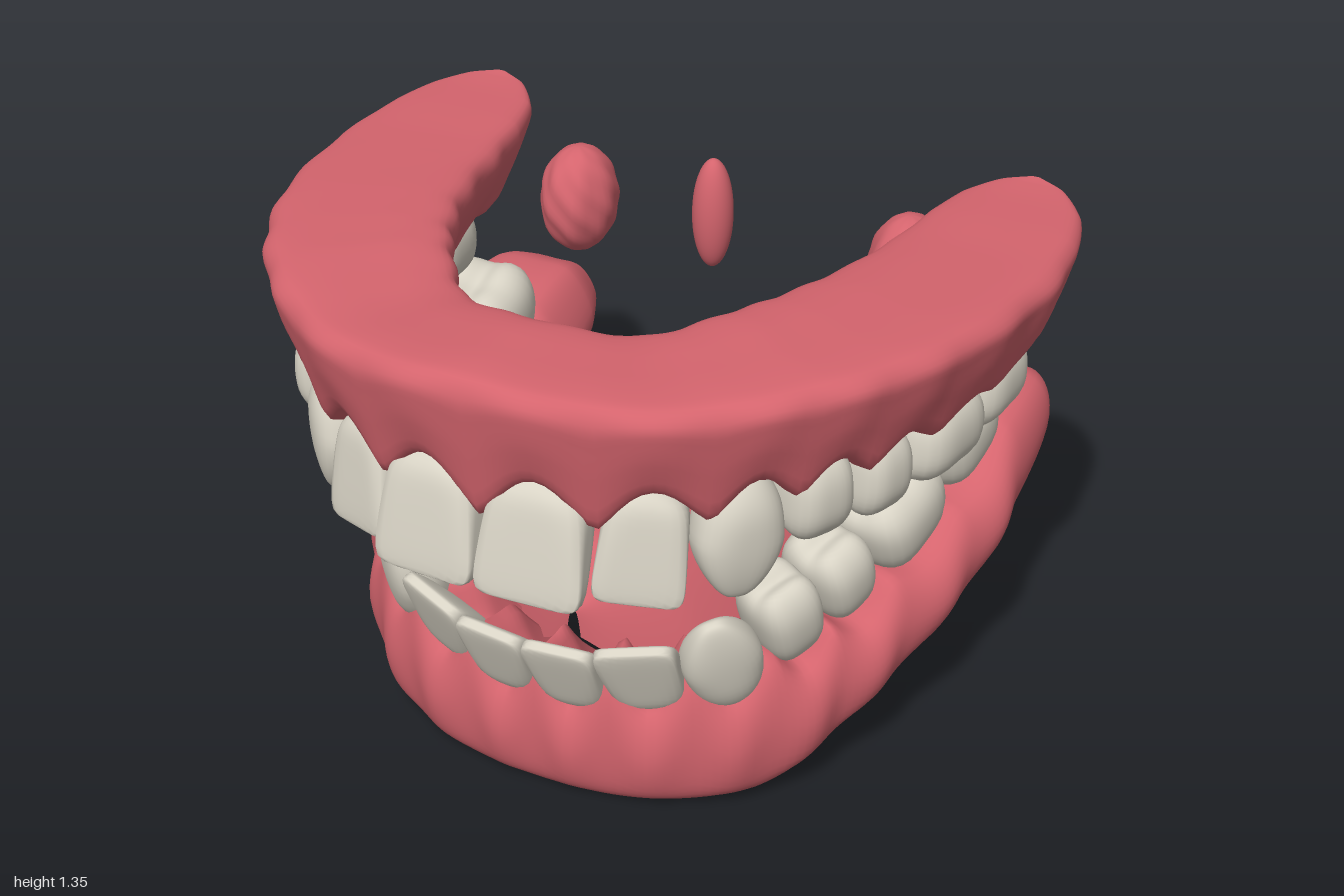
import * as THREE from 'three';
import { mergeVertices } from 'three/addons/utils/BufferGeometryUtils.js';

const gumPink = new THREE.MeshStandardMaterial({ color: 0xd4646d, side: THREE.DoubleSide });
gumPink.name = 'gum pink';
const enamel = new THREE.MeshStandardMaterial({ color: 0xd8d3c5 });
enamel.name = 'enamel';

// weld seams and rebuild smooth normals
function smooth(geo) {
  geo.deleteAttribute('uv');
  geo.deleteAttribute('normal');
  const g = mergeVertices(geo, 1e-5);
  g.computeVertexNormals();
  return g;
}

// surface from a rule fn(i/nu, j/nv) -> Vector3
function surface(nu, nv, fn) {
  const pos = [], idx = [];
  for (let i = 0; i <= nu; i++)
    for (let j = 0; j <= nv; j++) pos.push(...fn(i / nu, j / nv).toArray());
  for (let i = 0; i < nu; i++)
    for (let j = 0; j < nv; j++) {
      const a = i * (nv + 1) + j, b = a + nv + 1;
      idx.push(a, b, a + 1, b, b + 1, a + 1);
    }
  const g = new THREE.BufferGeometry();
  g.setAttribute('position', new THREE.Float32BufferAttribute(pos, 3));
  g.setIndex(idx);
  return smooth(g);
}

function mesh(name, geo, mat) {
  const m = new THREE.Mesh(geo, mat);
  m.name = name;
  return m;
}

// sphere reshaped point by point
function reshaped(rule) {
  const g = new THREE.SphereGeometry(1, 36, 28), p = g.attributes.position, v = new THREE.Vector3();
  for (let i = 0; i < p.count; i++) {
    rule(v.fromBufferAttribute(p, i));
    p.setXYZ(i, v.x, v.y, v.z);
  }
  return smooth(g);
}

// tooth: y runs root to crown, z faces the lips
function toothGeometry(kind, w, h, d) {
  return reshaped((v) => {
    // rounded root, squarer crown
    const crown = THREE.MathUtils.smoothstep(v.y, -0.8, 0.5);
    const n = { incisor: 2 + 6 * crown, canine: 2.1 + 0.8 * crown, premolar: 3.4, molar: 3.6 }[kind];
    v.multiplyScalar((Math.abs(v.x) ** n + Math.abs(v.y) ** n + Math.abs(v.z) ** n) ** (-1 / n));
    const t = (v.y + 1) / 2, x = v.x, z = v.z;
    if (kind === 'incisor') {
      const f = 1 - 0.75 * t ** 1.4;
      v.x *= 0.84 + 0.18 * t;
      v.z = z * f + (1 - f) * 0.55;
    } else if (kind === 'canine') {
      const f = 1 - 0.6 * t * t;
      v.x *= (0.9 + 0.25 * t) * (1 - 0.5 * Math.max(0, (t - 0.55) / 0.45) ** 1.3);
      v.z = z * f + (1 - f) * 0.4;
    } else {
      // grooves between the cusps
      const cross = kind === 'molar' ? Math.exp(-10 * x * x) : 0;
      v.x *= 0.86 + 0.14 * Math.sin(t * 2.4);
      v.z *= 0.88 + 0.16 * Math.sin(t * 2.6) - 0.16 * t ** 3;
      v.y -= t ** 4 * (0.2 * Math.exp(-7 * z * z) + 0.06 * cross);
    }
    v.set(v.x * w / 2, v.y * h / 2, v.z * d / 2);
  });
}

// name, kind, x, y, z, width, height, depth, yaw, lean
const upperTeeth = [
  ['CentralIncisor', 'incisor', 0.135, 0.925, 0.8, 0.275, 0.34, 0.15, 0.08, -0.27],
  ['LateralIncisor', 'incisor', 0.36, 0.925, 0.71, 0.22, 0.32, 0.15, 0.42, -0.25],
  ['Canine', 'canine', 0.53, 0.925, 0.58, 0.215, 0.34, 0.19, 0.85, -0.12],
  ['FirstPremolar', 'premolar', 0.635, 0.985, 0.43, 0.18, 0.24, 0.22, 1.1, 0],
  ['SecondPremolar', 'premolar', 0.71, 0.985, 0.275, 0.175, 0.24, 0.24, 1.25, 0],
  ['FirstMolar', 'molar', 0.765, 0.99, 0.05, 0.285, 0.23, 0.28, 1.4, 0],
  ['SecondMolar', 'molar', 0.79, 1.0, -0.22, 0.27, 0.23, 0.27, 1.5, 0],
];
const lowerTeeth = [
  ['CentralIncisor', 'incisor', 0.092, 0.375, 0.575, 0.19, 0.3, 0.14, 0.08, 0.5],
  ['LateralIncisor', 'incisor', 0.272, 0.395, 0.53, 0.205, 0.31, 0.14, 0.35, 0.5],
  ['Canine', 'canine', 0.435, 0.43, 0.44, 0.2, 0.36, 0.18, 0.75, 0.42],
  ['FirstPremolar', 'premolar', 0.525, 0.51, 0.29, 0.175, 0.26, 0.2, 1.1, 0.35],
  ['SecondPremolar', 'premolar', 0.59, 0.565, 0.14, 0.175, 0.25, 0.22, 1.25, 0.35],
  ['FirstMolar', 'molar', 0.65, 0.645, -0.07, 0.285, 0.25, 0.26, 1.4, 0.35],
  ['SecondMolar', 'molar', 0.685, 0.75, -0.345, 0.295, 0.25, 0.27, 1.5, 0.25],
];

// angle around the arch
const archAngle = (x, z) => Math.atan2(Math.abs(x), z + 0.7);

// 1 at each tooth centre, 0 between teeth
function scallop(teeth) {
  const a = teeth.map((t) => archAngle(t[2], t[4])), edges = [0];
  for (let i = 0; i < 6; i++) edges.push((a[i] + a[i + 1]) / 2);
  edges.push(2 * a[6] - edges[6]);
  return (q) => {
    const i = edges.findIndex((e, k) => q >= e && q < edges[k + 1]);
    return i < 0 ? 0 : Math.sin(Math.PI * (q - edges[i]) / (edges[i + 1] - edges[i]));
  };
}

// gum: rows [x, z, half width, bottom, top] from the front to the back of one side
function gumGeometry(rows, section, teeth, lower) {
  const all = [...rows.slice(1).reverse().map((r) => [-r[0], ...r.slice(1)]), ...rows];
  const path = new THREE.CatmullRomCurve3(all.map((r) => new THREE.Vector3(r[0], 0, r[1])));
  const size = new THREE.CatmullRomCurve3(all.map((r) => new THREE.Vector3(r[2], r[3], r[4])));
  const ring = new THREE.CatmullRomCurve3(section.map(([u, v]) => new THREE.Vector3(u, v, 0)), true);
  const wave = scallop(teeth);
  return surface(260, 44, (i, j) => {
    const c = path.getPoint(i), s = size.getPoint(i), T = path.getTangent(i), r = ring.getPoint(j % 1);
    const q = archAngle(c.x, c.z), w = wave(q);
    const rise = w ** 1.3 * Math.max(0.03, 0.13 - 0.11 * q);
    const low = s.y + (lower ? 0 : rise), high = s.z - (lower ? rise : 0);
    // root ridges swell near the gum line
    const near = THREE.MathUtils.clamp(lower ? r.y : 1 - r.y, 0, 1);
    const swell = w * w * 0.06 * r.x * near * (1 - near * 0.8);
    // the lower foot spreads inward under the tongue
    const foot = lower && r.x < 0
      ? -r.x * 0.22 * Math.max(0, Math.cos(q)) ** 2 * (1 - THREE.MathUtils.clamp(r.y, 0, 1)) ** 1.3 : 0;
    const off = r.x * Math.max(0.004, s.x) + swell - foot;
    return new THREE.Vector3(c.x - T.z * off, low + (high - low) * r.y + 0.35 * foot, c.z + T.x * off);
  });
}

const upperRows = [
  [0, 0.72, 0.183, 0.955, 1.34], [0.32, 0.64, 0.198, 0.97, 1.315], [0.56, 0.42, 0.226, 1.01, 1.335],
  [0.705, 0.14, 0.232, 1.035, 1.335], [0.775, -0.2, 0.22, 1.05, 1.325], [0.785, -0.42, 0.203, 1.07, 1.325],
  [0.785, -0.56, 0.165, 1.14, 1.325], [0.785, -0.65, 0.09, 1.24, 1.33], [0.785, -0.68, 0.015, 1.31, 1.335],
];
const upperSection = [[0.66, 0], [0.82, 0.3], [0.95, 0.65], [1, 0.84], [0.9, 0.96], [0.66, 1], [0, 1.01],
  [-0.66, 1], [-0.92, 0.94], [-0.98, 0.8], [-0.88, 0.5], [-0.72, 0.2], [-0.58, 0], [0, -0.02]];
const lowerRows = [
  [0, 0.495, 0.122, 0.005, 0.39], [0.25, 0.455, 0.133, 0.01, 0.395], [0.44, 0.325, 0.155, 0.03, 0.42],
  [0.55, 0.15, 0.17, 0.145, 0.455], [0.615, -0.03, 0.187, 0.25, 0.52], [0.66, -0.25, 0.205, 0.35, 0.6],
  [0.688, -0.48, 0.2, 0.455, 0.73], [0.695, -0.7, 0.18, 0.53, 0.745], [0.695, -0.82, 0.13, 0.565, 0.7],
  [0.695, -0.885, 0.075, 0.58, 0.65], [0.695, -0.91, 0.01, 0.585, 0.6],
];
const lowerSection = [[0.72, 0], [0.92, 0.15], [1, 0.5], [0.9, 0.82], [0.68, 1], [0, 1.02], [-0.5, 1],
  [-0.75, 0.82], [-0.98, 0.4], [-0.95, 0.12], [-0.7, 0], [0, -0.01]];

// tongue rows: [z, half width, crown height, edge height]
const tongueRows = [
  [-0.36, 0.5, 0.82, 0.44], [-0.2, 0.49, 0.87, 0.4], [0, 0.44, 0.79, 0.31], [0.14, 0.36, 0.725, 0.25],
  [0.21, 0.3, 0.66, 0.23], [0.255, 0.25, 0.54, 0.22], [0.34, 0.13, 0.45, 0.25], [0.395, 0.02, 0.41, 0.33],
];

function tongueGeometry() {
  const c1 = new THREE.CatmullRomCurve3(tongueRows.map((r) => new THREE.Vector3(r[0], r[1], 0)));
  const c2 = new THREE.CatmullRomCurve3(tongueRows.map((r) => new THREE.Vector3(r[2], r[3], 0)));
  return surface(32, 48, (j, i) => {
    const a = c1.getPoint(i), b = c2.getPoint(i), u = 2 * j - 1;
    const back = 0.11 * u ** 4 * (1 - i) ** 3;
    return new THREE.Vector3(u * a.y, b.y + (b.x - b.y) * (1 - Math.abs(u) ** 2.6), a.x - back);
  });
}

function teethGroup(prefix, teeth, upper) {
  const g = new THREE.Group();
  g.name = prefix + 'Teeth';
  for (const [name, kind, x, y, z, w, h, d, yaw, lean] of teeth)
    for (const side of [1, -1]) {
      const geo = toothGeometry(kind, w, h, d);
      if (upper) geo.rotateZ(Math.PI);
      geo.rotateY(side * yaw).rotateX(lean);
      const m = mesh(prefix + (side > 0 ? 'Left' : 'Right') + name, geo, enamel);
      m.position.set(side * x, y, z);
      g.add(m);
    }
  return g;
}

export function createModel() {
  const model = new THREE.Group();
  model.name = 'openMouth';
  model.add(mesh('upperGum', gumGeometry(upperRows, upperSection, upperTeeth, false), gumPink));
  model.add(mesh('lowerGum', gumGeometry(lowerRows, lowerSection, lowerTeeth, true), gumPink));
  model.add(teethGroup('upper', upperTeeth, true), teethGroup('lower', lowerTeeth, false));
  model.add(mesh('tongue', tongueGeometry(), gumPink));

  // lumpy tonsils behind the molars
  for (const side of [1, -1]) {
    const geo = reshaped((v) => {
      const a = Math.atan2(v.z, v.x * side);
      v.multiplyScalar(1 + 0.05 * Math.sin(7 * a + 4 * v.y) * Math.cos(6 * v.y) * (1 - v.y * v.y));
      v.set(v.x * 0.105, v.y * 0.155, v.z * 0.12);
    });
    const m = mesh(side > 0 ? 'leftTonsil' : 'rightTonsil', geo, gumPink);
    m.position.set(side * 0.488, 1.05, -0.58);
    model.add(m);
  }

  // uvula
  const uvula = mesh('uvula', reshaped((v) => v.set(v.x * 0.055, v.y * 0.155, v.z * 0.055)), gumPink);
  uvula.position.set(0, 1.18, -0.41);
  model.add(uvula);
  return model;
}
